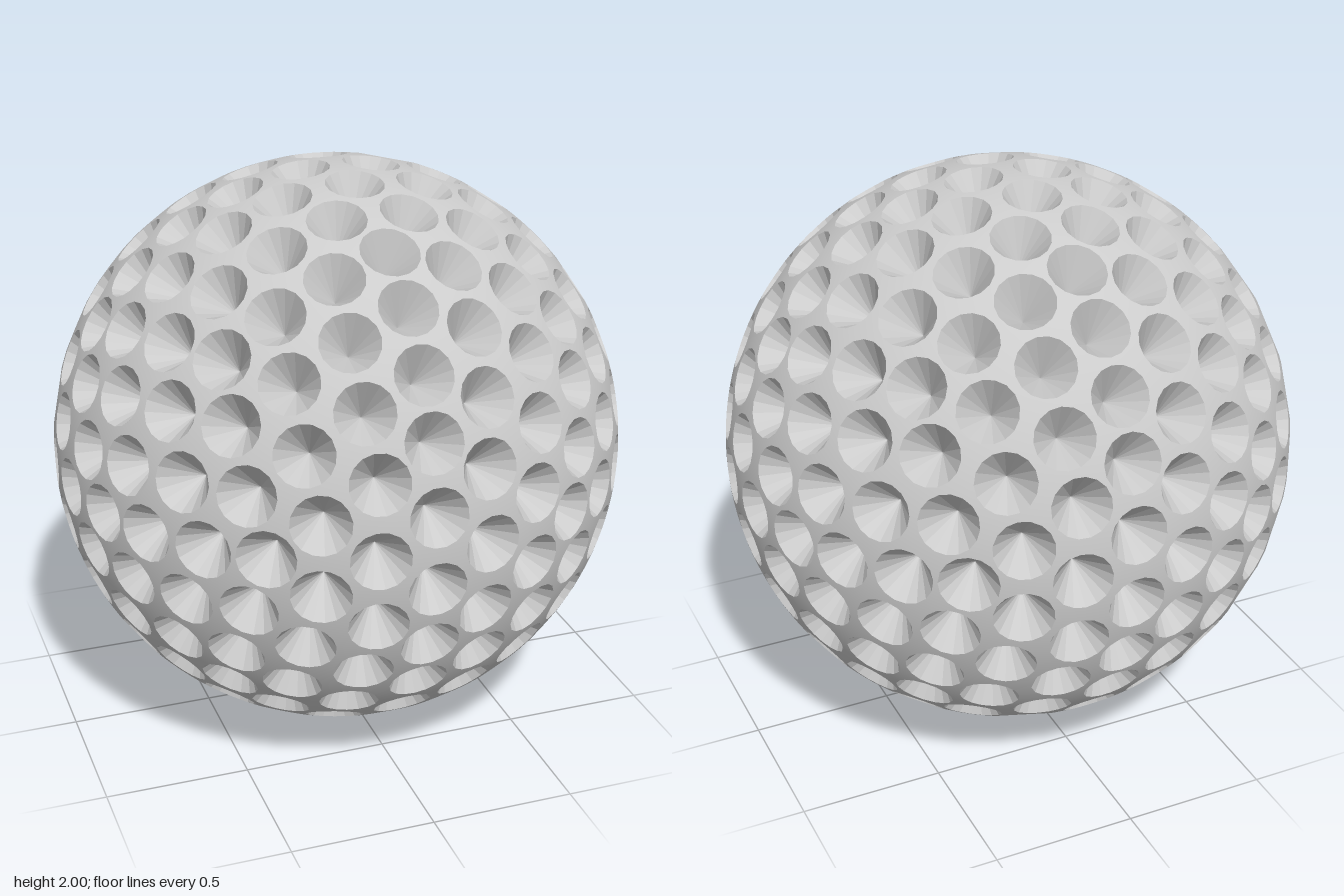
import * as THREE from 'three';
import { ConvexGeometry } from 'three/addons/geometries/ConvexGeometry.js';

const DIMPLE_RADIUS = 0.1, DIMPLE_DEPTH = 0.145, SIDES = 16;

// 272 evenly spread directions: each triangle between an icosahedron corner
// and two neighbouring face centres is divided in three.
function dimpleDirections() {
  const t = (1 + Math.sqrt(5)) / 2;
  const corners = [];
  for (const a of [-1, 1]) for (const b of [-t, t]) {
    corners.push([a, 0, b], [b, a, 0], [0, b, a]);
  }
  const verts = corners.map(c => new THREE.Vector3(...c).normalize());
  const near = (a, b) => a.distanceTo(b) < 1.1;

  const faces = [];
  for (let i = 0; i < 12; i++) for (let j = i + 1; j < 12; j++) for (let k = j + 1; k < 12; k++) {
    if (near(verts[i], verts[j]) && near(verts[j], verts[k]) && near(verts[i], verts[k])) {
      const centre = verts[i].clone().add(verts[j]).add(verts[k]).normalize();
      faces.push({ ids: [i, j, k], centre });
    }
  }

  const found = new Map();
  const addTriangle = (a, b, c) => {
    for (let i = 0; i <= 3; i++) for (let j = 0; i + j <= 3; j++) {
      const p = new THREE.Vector3().addScaledVector(a, i).addScaledVector(b, j)
        .addScaledVector(c, 3 - i - j).normalize();
      const key = p.toArray().map(v => Math.round(v * 1000 + 5000)).join();
      if (![...found.values()].some(q => q.distanceTo(p) < 0.01)) found.set(key, p);
    }
  };
  faces.forEach((f, m) => faces.slice(m + 1).forEach(g => {
    const shared = f.ids.filter(id => g.ids.includes(id));
    if (shared.length === 2) shared.forEach(id => addTriangle(verts[id], f.centre, g.centre));
  }));
  return [...found.values()];
}

function makeGeometry(positions, normals) {
  const g = new THREE.BufferGeometry();
  g.setAttribute('position', new THREE.Float32BufferAttribute(positions, 3));
  if (normals) g.setAttribute('normal', new THREE.Float32BufferAttribute(normals, 3));
  else g.computeVertexNormals();
  return g;
}

export function createModel() {
  // Rim circles on the unit sphere, plus a slightly raised centre for each
  const points = [];
  const z = new THREE.Vector3(0, 0, 1);
  const angle = Math.asin(DIMPLE_RADIUS);
  dimpleDirections().forEach((dir, n) => {
    const turn = new THREE.Quaternion().setFromUnitVectors(z, dir);
    points.push(dir.clone().multiplyScalar(1.001));
    for (let s = 0; s < SIDES; s++) {
      const a = (s / SIDES) * Math.PI * 2 + n * 0.37;
      points.push(new THREE.Vector3(
        Math.sin(angle) * Math.cos(a), Math.sin(angle) * Math.sin(a), Math.cos(angle)
      ).applyQuaternion(turn));
    }
  });

  // The hull joins all rims; centres are then pushed in to make conical pits
  const hull = new ConvexGeometry(points).getAttribute('position');
  const land = [], pits = [];
  const p = new THREE.Vector3();
  for (let i = 0; i < hull.count; i += 3) {
    const tri = [];
    let isPit = false;
    for (let k = 0; k < 3; k++) {
      p.fromBufferAttribute(hull, i + k);
      if (p.length() > 1.0005) {
        isPit = true;
        p.setLength(1 - DIMPLE_DEPTH);
      }
      tri.push(p.x, p.y, p.z);
    }
    (isPit ? pits : land).push(...tri);
  }

  const group = new THREE.Group();
  group.name = 'dimpledBall';

  // Smooth outer skin between the dimples
  const skin = new THREE.Mesh(makeGeometry(land, land),
    new THREE.MeshStandardMaterial({ color: 0xcccccc }));
  skin.name = 'outerSkin';

  // Faceted cone-shaped dimples
  const dimples = new THREE.Mesh(makeGeometry(pits),
    new THREE.MeshStandardMaterial({ color: 0xcccccc, flatShading: true }));
  dimples.name = 'dimples';

  skin.position.y = dimples.position.y = 1;
  group.add(skin, dimples);
  return group;
}
